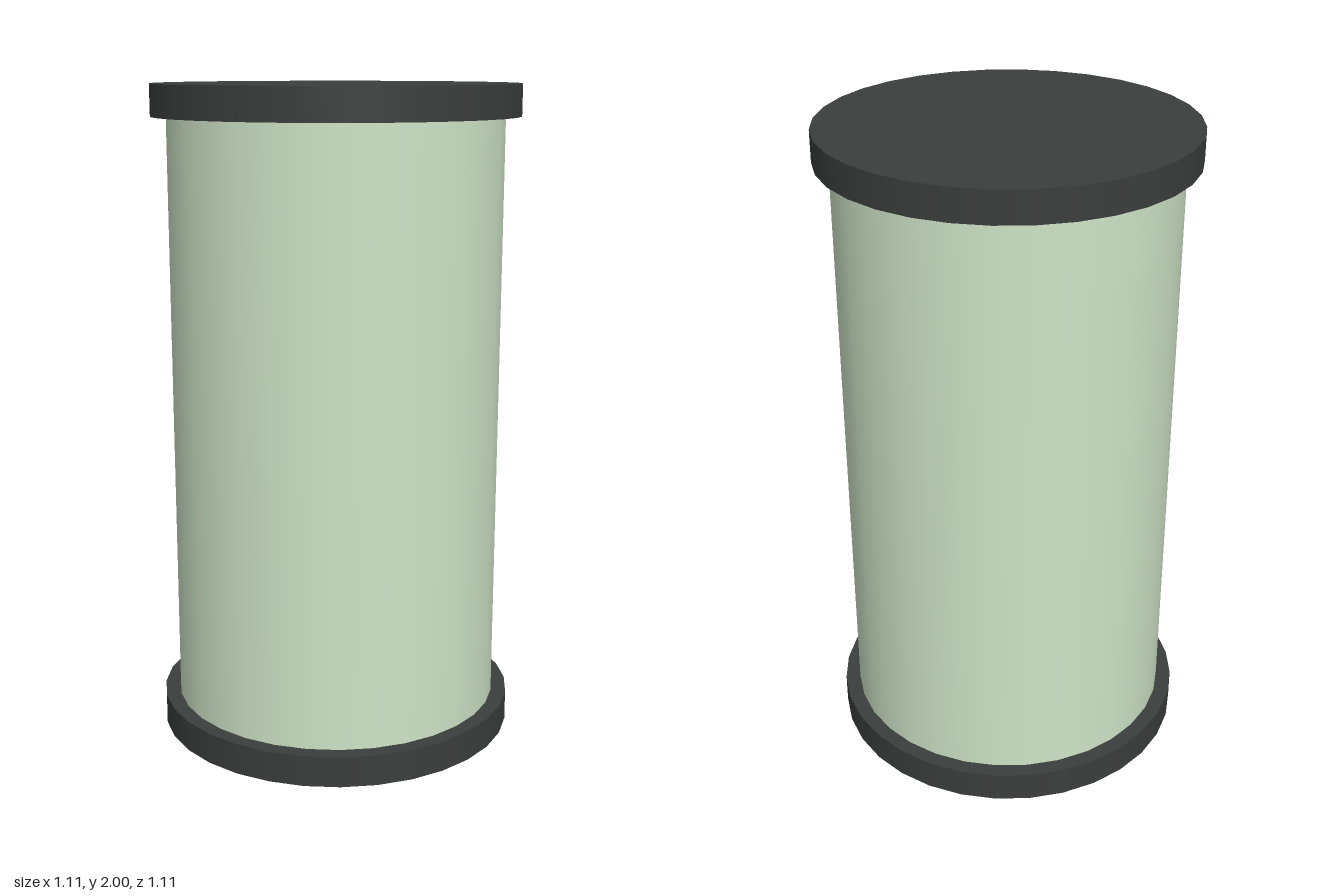
import * as THREE from 'three';

const SIDES = 32;
const CAP_RADIUS = 0.553, CAP_HEIGHT = 0.095;
const BODY_RADIUS = 0.506, HEIGHT = 2;

// Upright cylinder standing between two heights
function drum(name, radius, bottom, top, material) {
  const geometry = new THREE.CylinderGeometry(radius, radius, top - bottom, SIDES);
  const mesh = new THREE.Mesh(geometry, material);
  mesh.name = name;
  mesh.position.y = (bottom + top) / 2;
  return mesh;
}

export function createModel() {
  const model = new THREE.Group();
  model.name = 'canister';
  const dark = new THREE.MeshStandardMaterial({ color: 0x3a3e3c });
  const paleGreen = new THREE.MeshStandardMaterial({ color: 0xcfe4c8 });

  model.add(
    drum('bottomCap', CAP_RADIUS, 0, CAP_HEIGHT, dark),
    drum('body', BODY_RADIUS, CAP_HEIGHT, HEIGHT - CAP_HEIGHT, paleGreen),
    drum('topCap', CAP_RADIUS, HEIGHT - CAP_HEIGHT, HEIGHT, dark)
  );
  return model;
}
